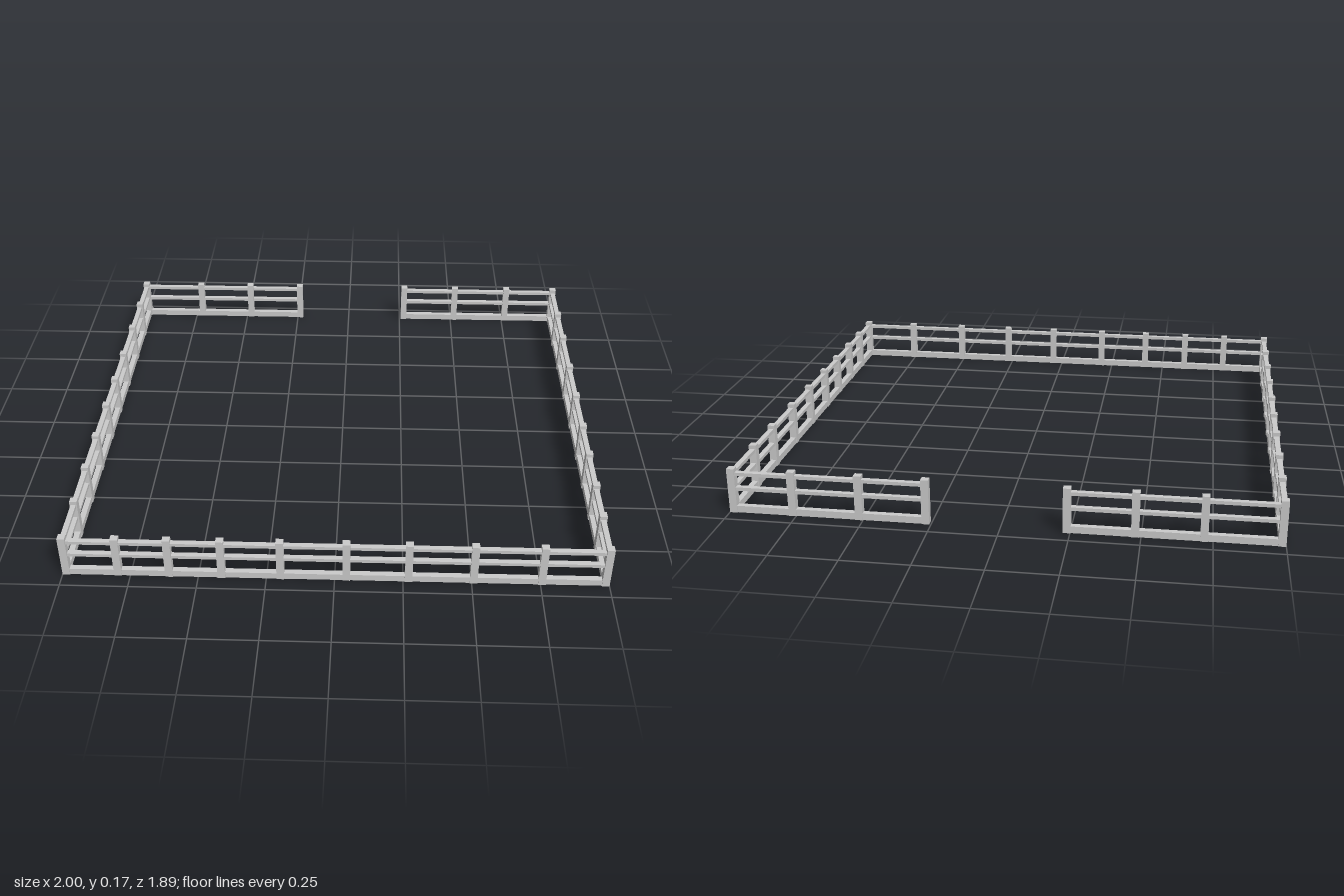
import * as THREE from 'three';

const POST = 0.028, HEIGHT = 0.172;
const X = 1 - POST / 2, Z = 0.93;

// Each run: axis it follows, fixed offset on the other axis, and post positions
const RUNS = [
  { name: 'frontFence', axis: 'x', at: Z, posts: [-X, -0.795, -0.607, -0.414, -0.198, 0.043, 0.27, 0.507, 0.755, X] },
  { name: 'backFenceRight', axis: 'x', at: -Z, posts: [-X, -0.719, -0.479, -0.238] },
  { name: 'backFenceLeft', axis: 'x', at: -Z, posts: [0.27, 0.515, 0.763, X] },
  { name: 'rightFence', axis: 'z', at: -X, posts: [-Z, -0.735, -0.526, -0.302, -0.098, 0.096, 0.31, 0.517, 0.722, Z] },
  { name: 'leftFence', axis: 'z', at: X, posts: [-Z, -0.705, -0.5, -0.26, -0.038, 0.18, 0.369, 0.563, 0.745, Z] },
];

// Rails: centre height, thickness, depth
const RAILS = [
  { name: 'bottomRail', y: 0.013, h: 0.026, d: 0.022 },
  { name: 'middleRail', y: 0.093, h: 0.013, d: 0.02 },
  { name: 'topRail', y: 0.151, h: 0.013, d: 0.02 },
];

export function createModel() {
  const model = new THREE.Group();
  model.name = 'paddockFence';
  const material = new THREE.MeshStandardMaterial({ color: 0xcccccc });

  const box = (parent, name, w, h, d, x, y, z) => {
    const mesh = new THREE.Mesh(new THREE.BoxGeometry(w, h, d), material);
    mesh.name = name;
    mesh.position.set(x, y, z);
    parent.add(mesh);
  };

  for (const { name, axis, at, posts } of RUNS) {
    const run = new THREE.Group();
    run.name = name;
    model.add(run);
    const alongX = axis === 'x';

    // Posts (corner posts belong to the front and back runs)
    for (const p of alongX ? posts : posts.slice(1, -1)) {
      box(run, 'post', POST, HEIGHT, POST, alongX ? p : at, HEIGHT / 2, alongX ? at : p);
    }

    // Three rails spanning the run
    const start = posts[0], end = posts[posts.length - 1];
    const length = end - start, mid = (start + end) / 2;
    for (const r of RAILS) {
      if (alongX) box(run, r.name, length, r.h, r.d, mid, r.y, at);
      else box(run, r.name, r.d, r.h, length, at, r.y, mid);
    }
  }
  return model;
}
